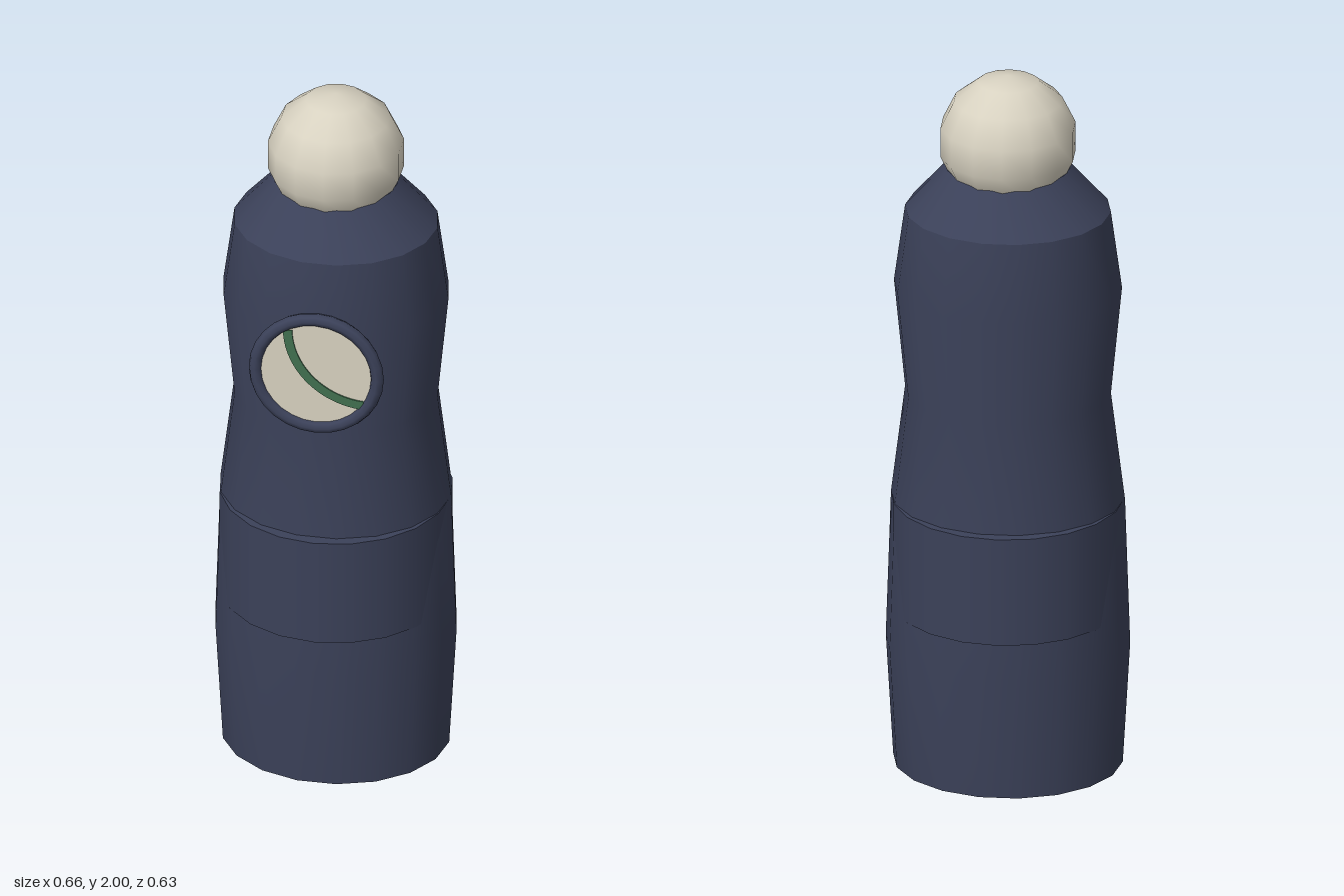
import * as THREE from 'three';
import { toCreasedNormals } from 'three/addons/utils/BufferGeometryUtils.js';

export function createModel() {
  const model = new THREE.Group();
  model.name = 'figure';

  const material = (name, color) => {
    const m = new THREE.MeshStandardMaterial({ color });
    m.name = name;
    return m;
  };
  const navy = material('navy', 0x3b4159);
  const cream = material('cream', 0xd8d2c1);
  const green = material('green', 0x41704f);

  const add = (name, geometry, mat, x, y, z) => {
    const mesh = new THREE.Mesh(geometry, mat);
    mesh.name = name;
    mesh.position.set(x, y, z);
    model.add(mesh);
    return mesh;
  };

  // Body: turned profile, flattened a little front to back
  const profile = [
    [0, 0], [0.31, 0], [0.33, 0.35], [0.316, 0.77], [0.278, 1.08],
    [0.308, 1.39], [0.278, 1.61], [0.168, 1.735], [0, 1.735],
  ].map(([r, y]) => new THREE.Vector2(r, y));
  const body = new THREE.LatheGeometry(profile, 18, Math.PI / 2);
  body.scale(1, 1, 0.9);
  add('body', toCreasedNormals(body, 0.5), navy, 0, 0, 0);

  // Round belt: stands proud of the body at the front and back only
  add('belt', new THREE.CylinderGeometry(0.315, 0.315, 0.31, 20), navy, 0, 0.618, 0);

  // Head
  const head = new THREE.SphereGeometry(0.188, 14, 7);
  head.rotateY(Math.PI / 2);
  add('head', head, cream, 0, 1.812, 0);

  // Chest badge: rim, face and curved stripe
  const badgeY = 1.287;
  add('badgeRim', new THREE.TorusGeometry(0.167, 0.018, 8, 28), navy, 0, badgeY, 0.279);
  const face = new THREE.CylinderGeometry(0.158, 0.158, 0.026, 28);
  face.rotateX(Math.PI / 2);
  add('badgeFace', face, cream, 0, badgeY, 0.27);

  const arc = new THREE.Shape();
  const start = Math.PI * 1.005, end = Math.PI * 1.485;
  arc.absarc(0, 0, 0.23, start, end, false);
  arc.absarc(0, 0, 0.205, end, start, true);
  const stripe = new THREE.ExtrudeGeometry(arc, { depth: 0.005, bevelEnabled: false, curveSegments: 14 });
  add('badgeStripe', stripe, green, 0.14, 1.42, 0.282);

  return model;
}
